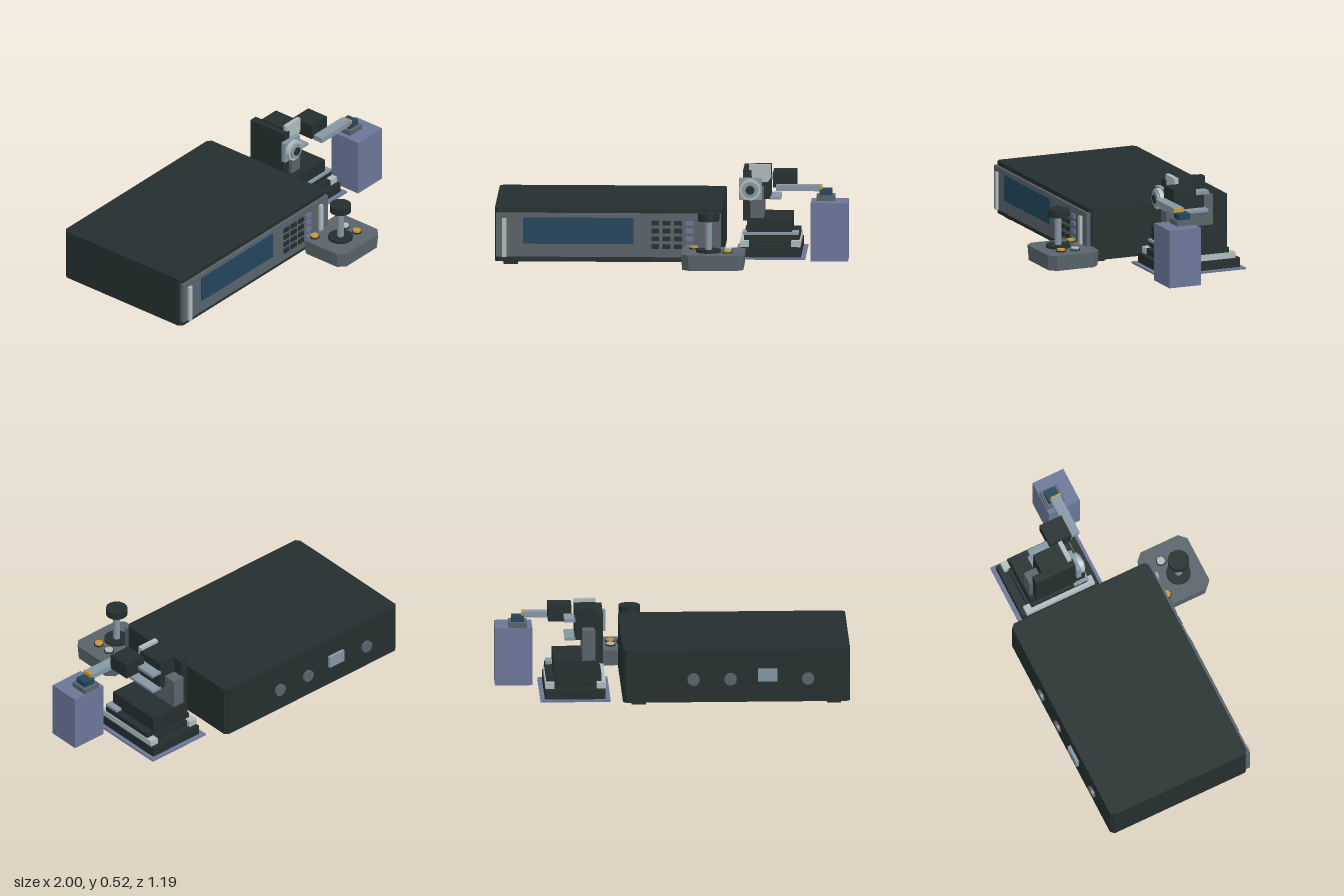
import * as THREE from 'three';

export function createModel() {
  const root = new THREE.Group();
  const mat = (name, color) => {
    const m = new THREE.MeshStandardMaterial({ color });
    m.name = name;
    return m;
  };
  const dark = mat('charcoal', 0x242e2e);
  const grey = mat('midGrey', 0x59636a);
  const slate = mat('slateBlue', 0x6b7698);
  const glass = mat('deepBlue', 0x22455c);
  const light = mat('paleMetal', 0xb0bcbc);
  const steel = mat('steelBlue', 0x8497a4);
  const amber = mat('amber', 0xcb972e);

  const add = (name, geo, m, x = 0, y = 0, z = 0) => {
    const mesh = new THREE.Mesh(geo, m);
    mesh.name = name;
    mesh.position.set(x, y, z);
    root.add(mesh);
    return mesh;
  };
  // Box given by its extents on each axis
  const box = (name, m, x0, x1, y0, y1, z0, z1) =>
    add(name, new THREE.BoxGeometry(x1 - x0, y1 - y0, z1 - z0), m, (x0 + x1) / 2, (y0 + y1) / 2, (z0 + z1) / 2);
  // Upright cylinder starting at y
  const post = (name, m, r, x, y, z, h, seg = 24) =>
    add(name, new THREE.CylinderGeometry(r, r, h, seg), m, x, y + h / 2, z);
  // Disc facing along z, centred on z
  const disc = (name, m, r, x, y, z, depth) =>
    add(name, new THREE.CylinderGeometry(r, r, depth, 24).rotateX(Math.PI / 2), m, x, y, z);
  // Upright block with cut corners, its foot scaled by taper
  const cutBlock = (name, m, w, d, h, cut, x, y, z, taper = 1) => {
    const a = w / 2, b = d / 2;
    const shape = new THREE.Shape([
      [-a + cut, -b], [a - cut, -b], [a, -b + cut], [a, b - cut],
      [a - cut, b], [-a + cut, b], [-a, b - cut], [-a, -b + cut],
    ].map(p => new THREE.Vector2(...p)));
    const geo = new THREE.ExtrudeGeometry(shape, { depth: h, bevelEnabled: false }).rotateX(-Math.PI / 2);
    const p = geo.attributes.position;
    for (let i = 0; i < p.count; i++) {
      if (p.getY(i) < h / 2) p.setXYZ(i, p.getX(i) * taper, p.getY(i), p.getZ(i) * taper);
    }
    geo.computeVertexNormals();
    return add(name, geo, m, x, y, z);
  };

  // Controller cabinet and feet
  cutBlock('cabinet', dark, 1.29, 0.865, 0.305, 0.02, -0.355, 0.02, -0.1425);
  for (const x of [-0.91, 0.2]) {
    for (const z of [0.215, -0.49]) box('foot', dark, x - 0.04, x + 0.04, 0, 0.02, z - 0.045, z + 0.045);
  }

  // Front panel with display, keypad and handles
  box('frontPanel', grey, -0.993, 0.285, 0.05, 0.3, 0.28, 0.305);
  box('display', glass, -0.84, -0.21, 0.125, 0.275, 0.305, 0.312);
  for (let c = 0; c < 4; c++) {
    for (let r = 0; r < 4; r++) {
      const x = -0.088 + c * 0.065, y = 0.112 + r * 0.045;
      box('key', c === 3 ? slate : dark, x - 0.022, x + 0.022, y - 0.013, y + 0.013, 0.305, 0.314);
    }
  }
  for (const x of [-0.945, 0.215]) box('panelHandle', light, x - 0.013, x + 0.013, 0.05, 0.27, 0.305, 0.32);

  // Rear connectors
  for (const x of [-0.76, -0.32, -0.11]) disc('rearSocket', grey, 0.035, x, 0.155, -0.583, 0.017);
  box('powerInlet', steel, -0.585, -0.475, 0.143, 0.215, -0.593, -0.57);

  // Joystick box
  cutBlock('joystickBase', grey, 0.36, 0.317, 0.088, 0.04, 0.247, 0.017, 0.434, 0.965);
  post('joystickCollar', dark, 0.07, 0.22, 0.105, 0.453, 0.015);
  post('joystickStalk', steel, 0.02, 0.22, 0.12, 0.453, 0.17);
  post('joystickKnob', dark, 0.061, 0.22, 0.285, 0.453, 0.042);
  for (const [x, z, m] of [[0.133, 0.335, amber], [0.328, 0.395, light], [0.328, 0.483, amber]]) {
    post('buttonRing', dark, 0.028, x, 0.105, z, 0.006);
    post('button', m, 0.023, x, 0.105, z, 0.015);
  }

  // Translation stage: base plate, rails and stacked plates
  box('basePlate', slate, 0.357, 0.755, 0, 0.01, -0.475, 0.057);
  box('lowerPlate', dark, 0.385, 0.73, 0.01, 0.065, -0.45, 0.03);
  for (const x of [0.408, 0.7]) box('slideRail', light, x - 0.026, x + 0.026, 0.065, 0.1, -0.425, 0.005);
  box('slideCore', dark, 0.434, 0.674, 0.065, 0.1, -0.4, 0);
  box('middlePlate', dark, 0.405, 0.72, 0.1, 0.13, -0.385, -0.03);
  box('scaleStrip', steel, 0.4, 0.715, 0.13, 0.145, -0.115, -0.025);
  box('upperBlock', dark, 0.42, 0.677, 0.13, 0.218, -0.39, -0.04);

  // Upright and head
  box('column', grey, 0.44, 0.515, 0.218, 0.393, -0.38, -0.09);
  box('columnSlab', dark, 0.397, 0.445, 0.2, 0.488, -0.36, -0.11);
  box('headBlock', dark, 0.432, 0.555, 0.32, 0.5, -0.303, -0.132);
  const plateShape = new THREE.Shape([
    [-0.035, -0.05], [0.045, -0.05], [0.062, -0.025], [0.062, 0.05], [-0.062, 0.05], [-0.062, 0.02],
  ].map(p => new THREE.Vector2(...p)));
  add('headPlate', new THREE.ExtrudeGeometry(plateShape, { depth: 0.025, bevelEnabled: false }), light, 0.493, 0.47, -0.145);

  // Adjustment knob facing forward
  box('knobPlate', steel, 0.375, 0.505, 0.32, 0.445, -0.112, -0.085);
  disc('adjustmentKnob', light, 0.06, 0.438, 0.382, -0.073, 0.026);
  disc('knobStep', steel, 0.045, 0.438, 0.382, -0.056, 0.012);
  disc('knobHub', dark, 0.025, 0.438, 0.382, -0.049, 0.008);

  // Holder bars, clamp and probe arm
  box('upperBar', steel, 0.55, 0.615, 0.425, 0.445, -0.308, -0.17);
  box('lowerBar', steel, 0.55, 0.612, 0.32, 0.335, -0.308, -0.11);
  box('clamp', dark, 0.57, 0.703, 0.4, 0.49, -0.187, -0.05);
  box('probeArm', steel, 0.588, 0.84, 0.388, 0.42, -0.052, 0.01);
  box('probeTip', amber, 0.838, 0.85, 0.398, 0.42, -0.045, 0.015);

  // Sample pedestal
  box('pedestal', slate, 0.788, 1, 0, 0.335, -0.085, 0.11);
  box('sampleMount', grey, 0.818, 0.923, 0.335, 0.365, -0.08, 0.027);
  box('sample', glass, 0.836, 0.907, 0.365, 0.398, -0.063, 0.01);

  return root;
}
